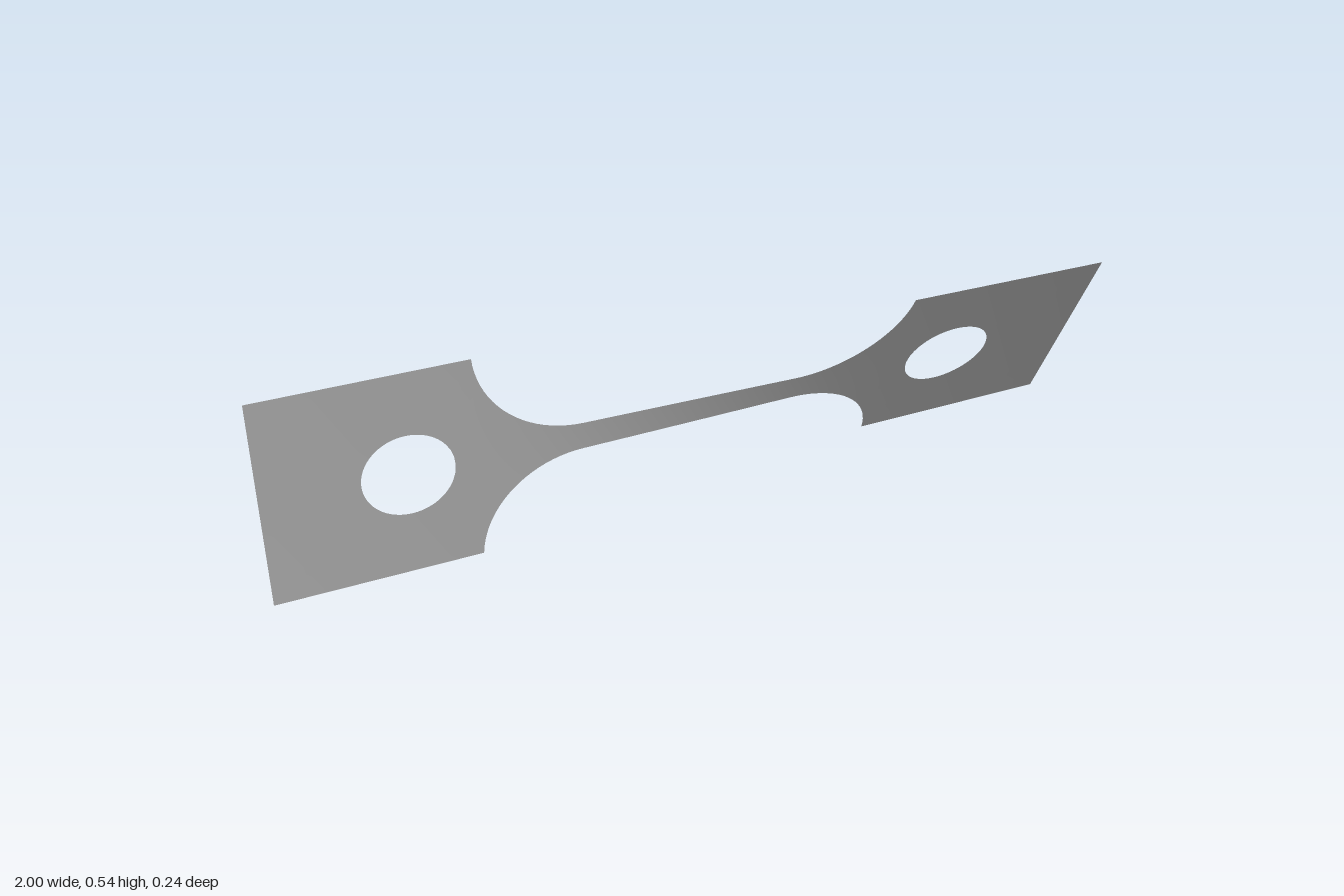
import * as THREE from 'three';

const MID = 0.271;            // half height of the pads, and height of the long axis
const PAD_X = 0.51;           // inner edge of each pad
const HOLE_X = 0.668, HOLE_R = 0.107;
const FILLET = { x: 0.26, y: 0.288, r: Math.hypot(0.25, 0.017) };
const START = THREE.MathUtils.degToRad(0.4), END = THREE.MathUtils.degToRad(25.7);

// Half height of the strip at x
function halfHeight(x) {
  const d = Math.abs(x);
  if (d >= PAD_X) return MID;
  const dx = Math.max(0, d - FILLET.x);
  return FILLET.y - Math.sqrt(FILLET.r ** 2 - dx ** 2);
}

// Twist builds up fastest where the strip is narrow
const STEPS = 400;
const turn = [0];
for (let i = 0; i < STEPS; i++) {
  const x = -1 + (2 * (i + 0.5)) / STEPS;
  turn.push(turn[i] + halfHeight(x) ** -1.2);
}
function twistAngle(x) {
  const f = THREE.MathUtils.clamp((x + 1) / 2, 0, 1) * STEPS;
  const i = Math.min(STEPS - 1, Math.floor(f));
  const t = THREE.MathUtils.lerp(turn[i], turn[i + 1], f - i) / turn[STEPS];
  return START + (END - START) * t;
}

// Turns a grid of flat [x, v] points into a twisted sheet
function twistedSheet(rows) {
  const positions = [], index = [], n = rows[0].length;
  for (const row of rows) {
    for (const [x, v] of row) {
      const a = twistAngle(x);
      positions.push(x, MID + v * Math.cos(a), v * Math.sin(a));
    }
  }
  for (let r = 0; r < rows.length - 1; r++) {
    for (let c = 0; c < n - 1; c++) {
      const a = r * n + c, b = a + n;
      index.push(a, b, b + 1, a, b + 1, a + 1);
    }
  }
  const geometry = new THREE.BufferGeometry();
  geometry.setAttribute('position', new THREE.Float32BufferAttribute(positions, 3));
  geometry.setIndex(index);
  geometry.computeVertexNormals();
  return geometry;
}

// Rectangular pad: rings blend from the round hole to the outer edge
function padGeometry(side) {
  const x0 = side < 0 ? -1 : PAD_X, x1 = side < 0 ? -PAD_X : 1;
  const corners = [[x1, -MID], [x1, MID], [x0, MID], [x0, -MID]];
  const edge = [], perSide = 16, rings = 10;
  corners.forEach((p, k) => {
    const q = corners[(k + 1) % 4];
    for (let i = 0; i < perSide; i++) {
      const t = i / perSide;
      edge.push([p[0] + (q[0] - p[0]) * t, p[1] + (q[1] - p[1]) * t]);
    }
  });
  edge.push(edge[0]);
  const cx = side * HOLE_X;
  const rows = [];
  for (let r = 0; r <= rings; r++) {
    const t = r / rings;
    rows.push(edge.map(([x, v]) => {
      const a = Math.atan2(v, x - cx);
      const hx = cx + HOLE_R * Math.cos(a), hv = HOLE_R * Math.sin(a);
      return [hx + (x - hx) * t, hv + (v - hv) * t];
    }));
  }
  return twistedSheet(rows);
}

// Narrow neck with a round fillet at both ends
function neckGeometry() {
  const stations = [], arc = Math.asin((PAD_X - FILLET.x) / FILLET.r);
  for (let i = 0; i <= 20; i++) stations.push(FILLET.x + FILLET.r * Math.sin((arc * i) / 20));
  const xs = stations.map((x) => -x).reverse();
  for (let i = 1; i < 30; i++) xs.push(-FILLET.x + (2 * FILLET.x * i) / 30);
  xs.push(...stations);
  const rows = xs.map((x) => {
    const h = halfHeight(x), row = [];
    for (let j = 0; j <= 12; j++) row.push([x, h * (1 - j / 6)]);
    return row;
  });
  // rows run top to bottom, so the front side faces +z
  return twistedSheet(rows.map((row) => row.reverse()).reverse());
}

export function createModel() {
  const group = new THREE.Group();
  group.name = 'twistedTestStrip';
  const metal = new THREE.MeshStandardMaterial({ color: 0xb4b4b4, side: THREE.DoubleSide });
  metal.name = 'grey metal';
  const add = (name, geometry) => {
    const mesh = new THREE.Mesh(geometry, metal);
    mesh.name = name;
    group.add(mesh);
  };
  add('rightPad', padGeometry(-1));
  add('neck', neckGeometry());
  add('leftPad', padGeometry(1));
  return group;
}
